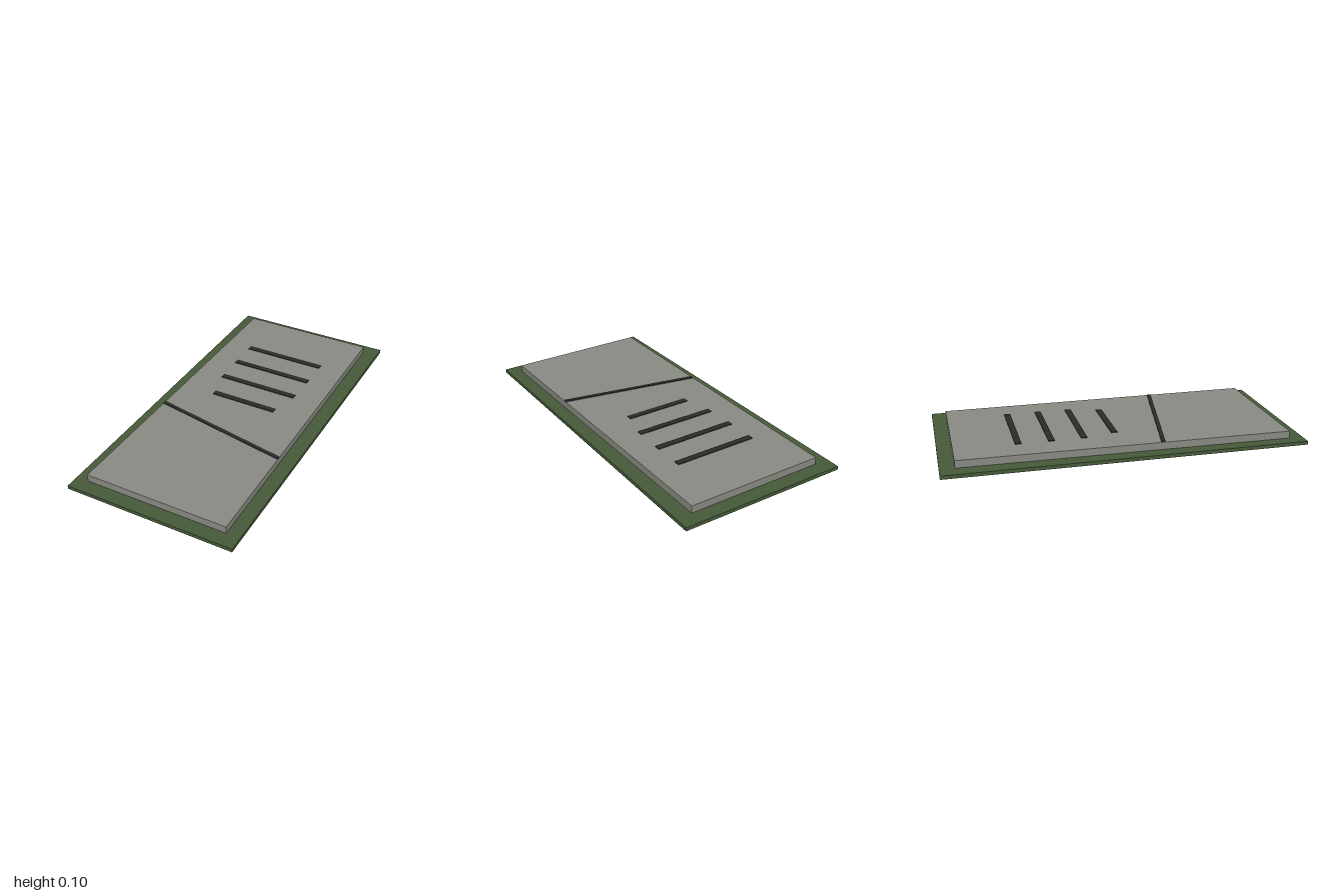
import * as THREE from 'three';

const material = (name, color) => {
  const m = new THREE.MeshStandardMaterial({ color });
  m.name = name;
  return m;
};

export function createModel() {
  const group = new THREE.Group();
  const stone = material('grey stone', 0x8a8a84);
  const grass = material('dark green', 0x465a39);
  const dark = material('charcoal', 0x2b2b2b);

  const add = (name, geometry, mat, x, y, z) => {
    const mesh = new THREE.Mesh(geometry, mat);
    mesh.name = name;
    mesh.position.set(x, y, z);
    group.add(mesh);
    return mesh;
  };

  // Thin green border around the slab
  add('grassBorder', new THREE.BoxGeometry(0.96, 0.02, 2), grass, 0, 0.04, 0);

  // Stone slab, slightly narrower at the back
  const outline = new THREE.Shape([
    [-0.41, -0.92], [0.405, -0.92], [0.392, 0.92], [-0.395, 0.92],
  ].map(([x, y]) => new THREE.Vector2(x, y)));
  const slab = new THREE.ExtrudeGeometry(outline, { depth: 0.091, bevelEnabled: false });
  slab.rotateX(-Math.PI / 2);
  add('slab', slab, stone, 0, 0, 0);

  // Plain bars across the slab: [width, centre x, z]
  for (const [w, x, z] of [
    [0.485, -0.002, -0.573], [0.485, -0.002, -0.392], [0.475, -0.002, -0.212], [0.39, -0.003, -0.033],
  ]) {
    add('engravedBar', new THREE.BoxGeometry(w, 0.006, 0.035), dark, x, 0.092, z);
  }

  // Diagonal crack
  const crack = add('crack', new THREE.BoxGeometry(0.814, 0.006, 0.022), dark, 0, 0.0925, 0.264);
  crack.rotation.y = -Math.atan2(0.15, 0.8);

  return group;
}
